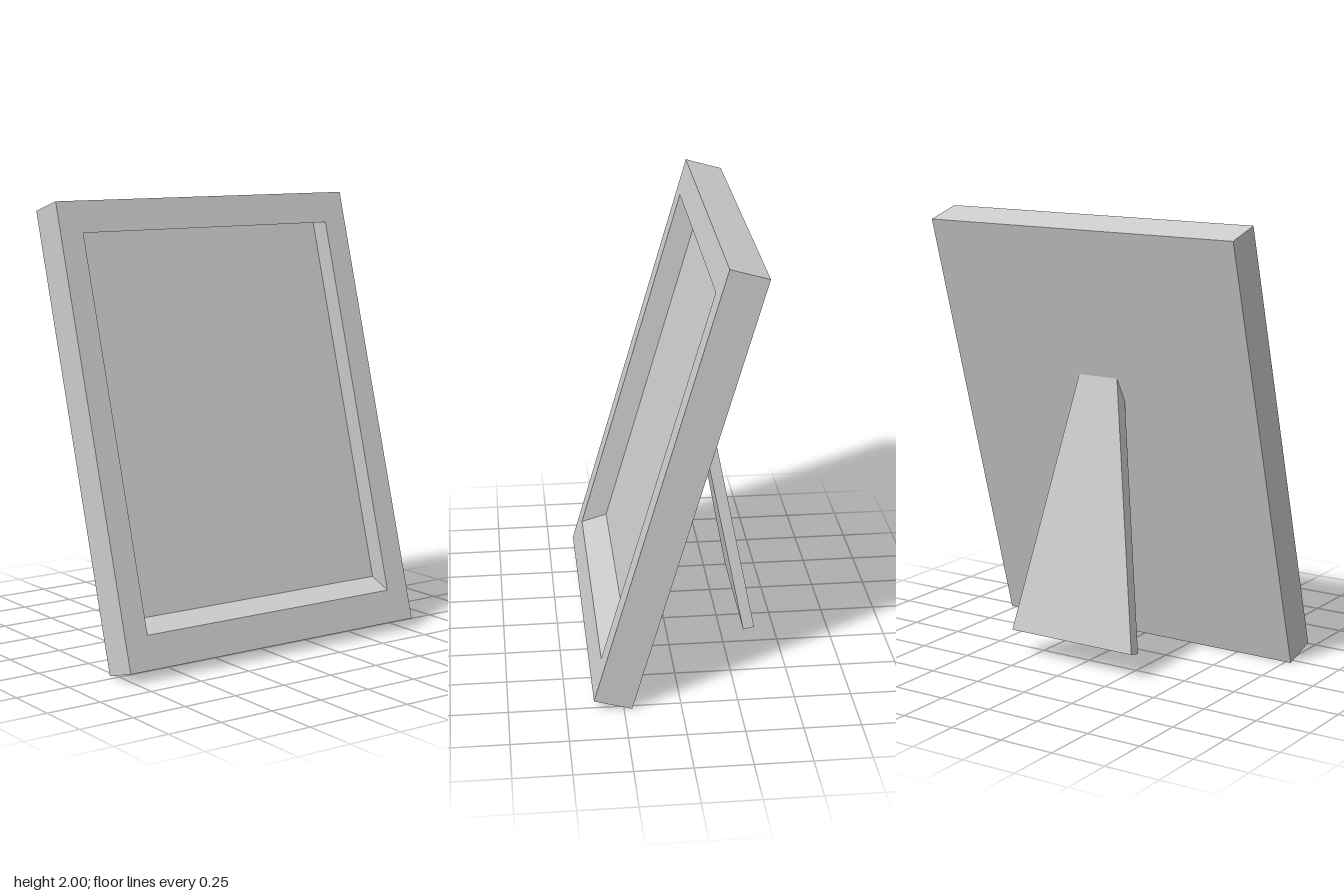
import * as THREE from 'three';

const material = new THREE.MeshStandardMaterial({ color: 0xcccccc, flatShading: true });

function addPart(parent, name, geometry) {
  const mesh = new THREE.Mesh(geometry, material);
  mesh.name = name;
  parent.add(mesh);
  return mesh;
}

// Moves every vertex of a geometry by a rule and refreshes the normals
function reshape(geometry, rule) {
  const pos = geometry.attributes.position;
  const v = new THREE.Vector3();
  for (let i = 0; i < pos.count; i++) {
    rule(v.fromBufferAttribute(pos, i));
    pos.setXYZ(i, v.x, v.y, v.z);
  }
  geometry.computeVertexNormals();
  return geometry;
}

function rectangle(Type, x0, y0, x1, y1) {
  return new Type([[x0, y0], [x1, y0], [x1, y1], [x0, y1]].map(([x, y]) => new THREE.Vector2(x, y)));
}

export function createModel() {
  const model = new THREE.Group();
  model.name = 'standingFrame';

  const halfWidth = 0.775, height = 2.03, backDepth = 0.068, rimDepth = 0.104;

  // Leaning frame, pivoting on its lower back edge
  const frame = new THREE.Group();
  frame.name = 'frame';
  frame.position.z = 0.215;
  frame.rotation.x = -Math.atan2(0.565, 1.955);
  model.add(frame);

  const panel = new THREE.BoxGeometry(halfWidth * 2, height, backDepth);
  addPart(frame, 'backPanel', panel.translate(0, height / 2, backDepth / 2));

  // Rim whose opening slants slightly upward toward the panel
  const outline = rectangle(THREE.Shape, -halfWidth, 0, halfWidth, height);
  outline.holes.push(rectangle(THREE.Path, -0.663, 0.148, 0.66, 1.888));
  const rim = new THREE.ExtrudeGeometry(outline, { depth: rimDepth, bevelEnabled: false });
  reshape(rim, (v) => {
    if (Math.abs(v.x) < 0.7 && v.z < 0.01) {
      v.x += 0.01;
      v.y += 0.072;
    }
  });
  addPart(frame, 'rim', rim).position.z = backDepth;

  // Tapered support leg, its top cut to meet the back panel
  const leg = reshape(new THREE.BoxGeometry(2, 1, 1), (v) => {
    const top = v.y > 0, front = v.z > 0;
    v.y = top ? (front ? 1.18 : 1.285) : (front ? 0.11 : 0.12);
    v.z = top ? (front ? -0.125 : -0.158) : (front ? -0.33 : -0.38);
    v.x = 0.012 + v.x * THREE.MathUtils.mapLinear(v.y, 0.12, 1.285, 0.321, 0.1);
  });
  addPart(model, 'supportLeg', leg);

  return model;
}
